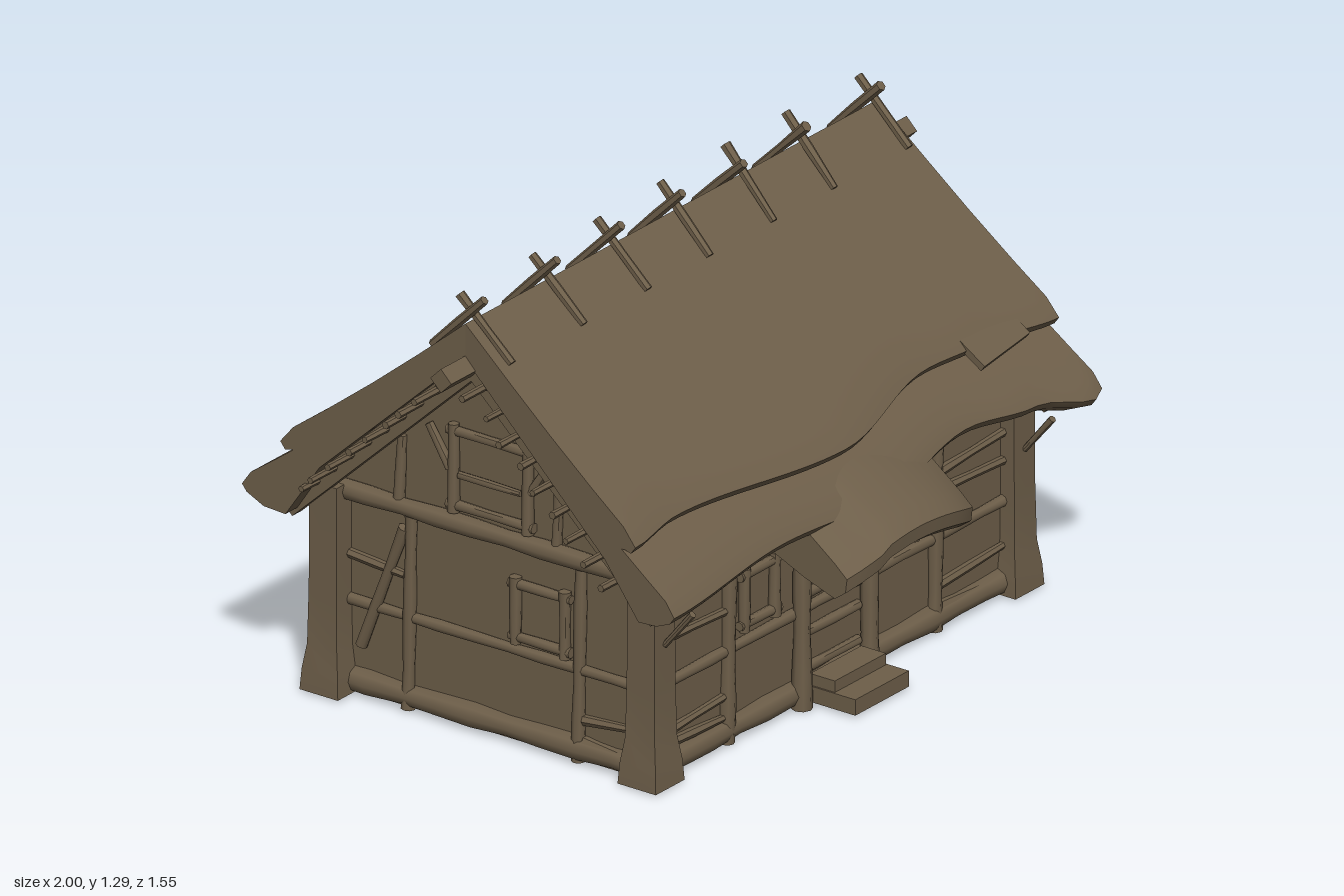
import * as THREE from 'three';
import { toCreasedNormals } from 'three/addons/utils/BufferGeometryUtils.js';

const V = (x, y, z) => new THREE.Vector3(x, y, z);
const weathered = new THREE.MeshStandardMaterial({ color: 0x6d5e49, side: THREE.DoubleSide });
weathered.name = 'weathered wood and thatch';

let seed = 7;
const rnd = () => (seed = (seed * 16807) % 2147483647) / 2147483647;

function add(parent, name, geometry) {
  const mesh = new THREE.Mesh(geometry, weathered);
  mesh.name = name;
  parent.add(mesh);
  return mesh;
}

// Rough log between two points, with a slightly uneven thickness
function log(parent, name, a, b, r, r2 = r, sides = 8) {
  const len = a.distanceTo(b);
  const g = new THREE.CylinderGeometry(r2, r, len, sides, Math.max(1, Math.round(len / 0.12)));
  const p = g.attributes.position, phase = rnd() * 6;
  for (let i = 0; i < p.count; i++) {
    const k = 1 + 0.12 * Math.sin(p.getY(i) * 19 + phase);
    p.setX(i, p.getX(i) * k);
    p.setZ(i, p.getZ(i) * k);
  }
  const m = add(parent, name, toCreasedNormals(g, 0.9));
  m.position.copy(a).add(b).multiplyScalar(0.5);
  m.quaternion.setFromUnitVectors(V(0, 1, 0), b.clone().sub(a).normalize());
  return m;
}

// Closed skin through rings of equal length, with end caps
function loft(rings) {
  const n = rings[0].length, pos = [], idx = [];
  rings.forEach(r => r.forEach(p => pos.push(p.x, p.y, p.z)));
  for (let i = 0; i < rings.length - 1; i++)
    for (let j = 0; j < n; j++) {
      const a = i * n + j, b = i * n + (j + 1) % n;
      idx.push(a, b, a + n, b, b + n, a + n);
    }
  [0, rings.length - 1].forEach(e => {
    const contour = rings[e].map(p => Math.abs(rings[0][0].x - rings.at(-1)[0].x) > 0.3
      ? new THREE.Vector2(p.z, p.y) : new THREE.Vector2(p.x, p.y));
    THREE.ShapeUtils.triangulateShape(contour, []).forEach(([a, b, c]) =>
      e ? idx.push(e * n + a, e * n + b, e * n + c) : idx.push(e * n + a, e * n + c, e * n + b));
  });
  const g = new THREE.BufferGeometry();
  g.setAttribute('position', new THREE.Float32BufferAttribute(pos, 3));
  g.setIndex(idx);
  return toCreasedNormals(g, 0.6);
}

const lerpTable = (table, x) => {
  let i = 0;
  while (i < table.length - 2 && x > table[i + 1][0]) i++;
  const [x0, y0] = table[i], [x1, y1] = table[i + 1];
  return y0 + (y1 - y0) * THREE.MathUtils.smoothstep(x, x0, x1);
};

// Thatch slab: side +1 front, -1 back; the table gives the z of the wavy eave
const RIDGE = -0.04;
function thatch(parent, name, side, table, start, drop, lip) {
  const rings = [];
  for (let i = 0; i <= 40; i++) {
    const s = -0.895 + 1.77 * i / 40;
    const tip = Math.abs(lerpTable(table, s) - RIDGE);
    const top = u => 1.21 - drop - 0.78 * u - 0.015 * Math.sin(Math.PI * u / 0.7);
    const under = u => Math.min(top(u) - 0.03, 1.11 - 0.93 * u);
    const pts = [0, 0.25, 0.5, 0.75, 0.93].map(k => start + (tip - start) * k).map(u => [u, top(u)]);
    const heel = tip - lip * 0.8, mid = start + (heel - start) * 0.6;
    pts.push([tip, top(tip) - 0.02], [tip - 0.015, top(tip) - 0.04]);
    pts.push([tip - lip * 0.4, top(tip - lip * 0.4) - lip * 0.68], [heel, top(heel) - lip]);
    pts.push([mid, under(mid)], [start, under(start)]);
    rings.push(pts.map(([u, y]) => V(s * (1 + 0.05 * u), y, RIDGE + side * u)));
  }
  add(parent, name, loft(rings));
}

// Pegged window frame, in wall coordinates
function windowFrame(wall, x0, x1, y0, y1) {
  const w = new THREE.Group();
  w.name = 'window';
  wall.add(w);
  [x0, x1].forEach(x => log(w, 'windowJamb', V(x, y0 - 0.02, 0.012), V(x, y1 + 0.02, 0.012), 0.016));
  [y0, y1].forEach(y => log(w, 'windowRail', V(x0 - 0.02, y, 0.01), V(x1 + 0.02, y, 0.01), 0.014));
}

function makeWall(parent, name, outline, pos, turn, half) {
  const wall = new THREE.Group();
  wall.name = name;
  wall.position.copy(pos);
  wall.rotation.y = turn;
  parent.add(wall);
  add(wall, 'daubPanel', new THREE.ShapeGeometry(new THREE.Shape(outline.map(p => new THREE.Vector2(...p)))));
  log(wall, 'sillBeam', V(-half, 0.045, 0), V(half, 0.045, 0), 0.033);
  log(wall, 'middleRail', V(-half, 0.27, 0.005), V(half, 0.27, 0.005), 0.016);
  log(wall, 'topPlate', V(-half, 0.58, 0.01), V(half, 0.58, 0.01), 0.027);
  return wall;
}
const stud = (wall, x, y0 = 0.01, y1 = 0.56, r = 0.02) => log(wall, 'stud', V(x, y0, 0.008), V(x + 0.01, y1, 0.008), r * 1.1, r);
const rails = (wall, x0, x1, ys) => ys.forEach((y, i) =>
  log(wall, 'wattleRail', V(x0, y, 0.008), V(x1, y + (i % 2 ? 0.015 : -0.015), 0.008), 0.014, 0.011, 6));

export function createModel() {
  const house = new THREE.Group();
  house.name = 'thatchedCottage';

  // Walls
  const flat = [[-0.76, 0.01], [0.76, 0.01], [0.76, 0.6], [-0.76, 0.6]];
  const gable = [[-0.51, 0.01], [0.51, 0.01], [0.51, 0.61], [0, 1.08], [-0.51, 0.61]];
  const front = makeWall(house, 'frontWall', flat, V(-0.015, 0, 0.475), 0, 0.76);
  const back = makeWall(house, 'backWall', flat, V(-0.015, 0, -0.54), Math.PI, 0.76);
  const left = makeWall(house, 'leftGable', gable, V(0.75, 0, -0.035), Math.PI / 2, 0.51);
  const right = makeWall(house, 'rightGable', gable, V(-0.78, 0, -0.035), -Math.PI / 2, 0.51);

  [-0.45, 0.44].forEach(x => stud(front, x));
  rails(front, -0.74, -0.46, [0.1, 0.13, 0.4, 0.46]);
  rails(front, 0.45, 0.74, [0.07, 0.13, 0.4, 0.45]);
  windowFrame(front, -0.38, -0.25, 0.32, 0.46);
  windowFrame(front, 0.215, 0.345, 0.32, 0.46);

  [-0.5, -0.12, 0.12, 0.5].forEach(x => stud(back, x));
  rails(back, -0.74, -0.51, [0.12, 0.4, 0.46]);
  rails(back, 0.51, 0.74, [0.12, 0.2, 0.42]);
  windowFrame(back, -0.38, -0.24, 0.31, 0.47);
  windowFrame(back, 0.22, 0.36, 0.31, 0.47);

  [left, right].forEach(w => {
    [-0.27, 0.28].forEach(x => stud(w, x, 0.01, 0.56, 0.017));
    [-0.3, 0.21].forEach(x => stud(w, x, 0.58, 0.78, 0.014));
    [-1, 1].forEach(s => log(w, 'gableBrace', V(s * 0.13, 0.73, 0.012), V(s * 0.2, 0.84, 0.012), 0.013));
    windowFrame(w, -0.12, 0.12, 0.63, 0.84);
    log(w, 'shutterBar', V(-0.1, 0.72, 0.015), V(0.1, 0.72, 0.015), 0.01);
    log(w, 'diagonalBrace', V(-0.42, 0.15, 0.01), V(-0.28, 0.52, 0.01), 0.016);
    rails(w, -0.46, -0.28, [0.4]);
    rails(w, 0.3, 0.46, [0.07, 0.13]);
  });
  windowFrame(left, -0.07, 0.09, 0.31, 0.46);
  windowFrame(right, 0.08, 0.24, 0.31, 0.46);

  // Squared corner posts with flared feet
  for (const [x, z] of [[-0.78, 0.475], [0.765, 0.475], [-0.8, -0.54], [0.75, -0.535]]) {
    const profile = [[0, 0.01], [0.062, 0.01], [0.058, 0.07], [0.048, 0.14], [0.045, 0.3], [0.044, 0.6], [0, 0.6]];
    const g = new THREE.LatheGeometry(profile.map(([r, y]) => new THREE.Vector2(r * Math.SQRT2, y)), 4);
    g.rotateY(Math.PI / 4);
    add(house, 'cornerPost', toCreasedNormals(g, 0.6)).position.set(x, 0, z);
  }
  [-0.78, 0.765].forEach(x => log(house, 'eaveBrace', V(x, 0.41, 0.52), V(x, 0.52, 0.61), 0.009));

  // Door and steps
  const door = new THREE.Group();
  door.name = 'door';
  house.add(door);
  [-0.165, 0.125].forEach(x => log(door, 'doorPost', V(x, 0.005, 0.5), V(x, 0.56, 0.5), 0.027, 0.021));
  [0.1, 0.2, 0.31, 0.41].forEach(y => log(door, 'doorBar', V(-0.14, y, 0.482), V(0.1, y, 0.482), 0.014));
  add(house, 'lowerStep', new THREE.BoxGeometry(0.23, 0.045, 0.14)).position.set(-0.02, 0.035, 0.58);
  add(house, 'upperStep', new THREE.BoxGeometry(0.22, 0.04, 0.08)).position.set(-0.02, 0.07, 0.54);

  // Thatch in two layers per side
  const roof = new THREE.Group();
  roof.name = 'roof';
  house.add(roof);
  thatch(roof, 'upperThatchFront', 1, [[-0.89, 0.53], [-0.7, 0.51], [-0.05, 0.56], [0.38, 0.49], [0.6, 0.5], [0.89, 0.53]], 0, 0, 0.09);
  thatch(roof, 'upperThatchBack', -1, [[-0.89, -0.62], [-0.5, -0.6], [-0.02, -0.65], [0.36, -0.54], [0.6, -0.54], [0.89, -0.57]], 0, 0, 0.09);
  thatch(roof, 'lowerThatchFront', 1, [[-0.89, 0.66], [-0.4, 0.63], [0, 0.65], [0.4, 0.6], [0.65, 0.63], [0.84, 0.68], [0.89, 0.66]], 0.3, 0.07, 0.15);
  thatch(roof, 'lowerThatchBack', -1, [[-0.89, -0.74], [-0.45, -0.72], [0, -0.78], [0.36, -0.68], [0.6, -0.7], [0.75, -0.74], [0.89, -0.74]], 0.3, 0.065, 0.17);
  const patch = add(roof, 'thatchPatch', new THREE.BoxGeometry(0.22, 0.02, 0.22));
  patch.position.set(0.65, 0.795, 0.45);
  patch.rotation.set(0.66, 0.1, 0);

  // Arched thatch hood over the door
  const hood = [];
  for (let i = 0; i <= 14; i++) {
    const x = -0.29 + 0.54 * i / 14, k = (x + 0.02) / 0.27;
    const d = -0.05 * k * k - (x < -0.15 ? 0.012 : 0), e = -0.03 * k ** 4;
    hood.push([[0.42, 0.73], [0.6, 0.65], [0.73, 0.575], [0.77, 0.54], [0.765, 0.5], [0.73, 0.475], [0.6, 0.51], [0.42, 0.59]]
      .map(([z, y], j) => V(x, y + d, z + (j > 1 && j < 6 ? e : 0))));
  }
  add(roof, 'doorHood', loft(hood));

  // Gable rafters, purlin ends and ridge pole
  for (const s of [-1, 1]) {
    for (const x of [-0.85, 0.84]) {
      const rafter = add(roof, 'gableRafter', new THREE.BoxGeometry(0.04, 0.06, 0.82));
      rafter.position.set(x, 0.8, RIDGE + s * 0.3);
      rafter.rotation.x = s * Math.atan(0.93);
    }
    for (let i = 0; i < 9; i++) {
      const u = 0.05 + 0.056 * i, e = 0.94 + 0.04 * rnd(), f = 0.89 + 0.03 * rnd();
      log(roof, 'purlin', V(-e, 1.085 - 0.93 * u, RIDGE + s * u), V(f, 1.085 - 0.93 * u, RIDGE + s * u), 0.01, 0.01, 6);
    }
  }
  const ridge = add(roof, 'ridgePole', new THREE.BoxGeometry(2, 0.048, 0.048));
  ridge.position.set(0, 1.085, RIDGE);
  ridge.rotation.x = Math.PI / 4;

  // Crossed sticks pinning the ridge
  [-0.865, -0.555, -0.28, -0.015, 0.26, 0.52, 0.84].forEach(x => [-1, 1].forEach(s => {
    const j = (rnd() - 0.5) * 0.02;
    log(roof, 'ridgeStick', V(x + s * 0.012, 1.115, RIDGE + s * 0.12), V(x + s * 0.012 + j, 1.275 + j, RIDGE - s * 0.045), 0.011, 0.014, 6);
  }));

  // Sagging awning on the left gable
  const awning = new THREE.Group();
  awning.name = 'sideAwning';
  house.add(awning);
  const rings = [];
  for (let i = 0; i <= 16; i++) {
    const t = i / 16, z = 0.24 - 0.73 * t, w = 0.012 * Math.sin(t * 11), e = -0.03 * Math.abs(2 * t - 1) ** 3;
    rings.push([[0.75, 0.56], [0.88, 0.52], [0.96, 0.475], [0.995, 0.44], [0.985, 0.415], [0.88, 0.485], [0.75, 0.53]]
      .map(([x, y], j) => V(x + (j > 1 && j < 5 ? e : 0), y + w * (x - 0.7) * 3 - (x - 0.78) * 0.08 * t, z)));
  }
  add(awning, 'awningCover', loft(rings));
  log(awning, 'awningPole', V(0.93, 0.45, 0.24), V(0.93, 0.445, -0.47), 0.012);
  log(awning, 'awningPeg', V(0.8, 0.43, -0.45), V(0.8, 0.34, -0.44), 0.016, 0.02, 6);

  return house;
}
